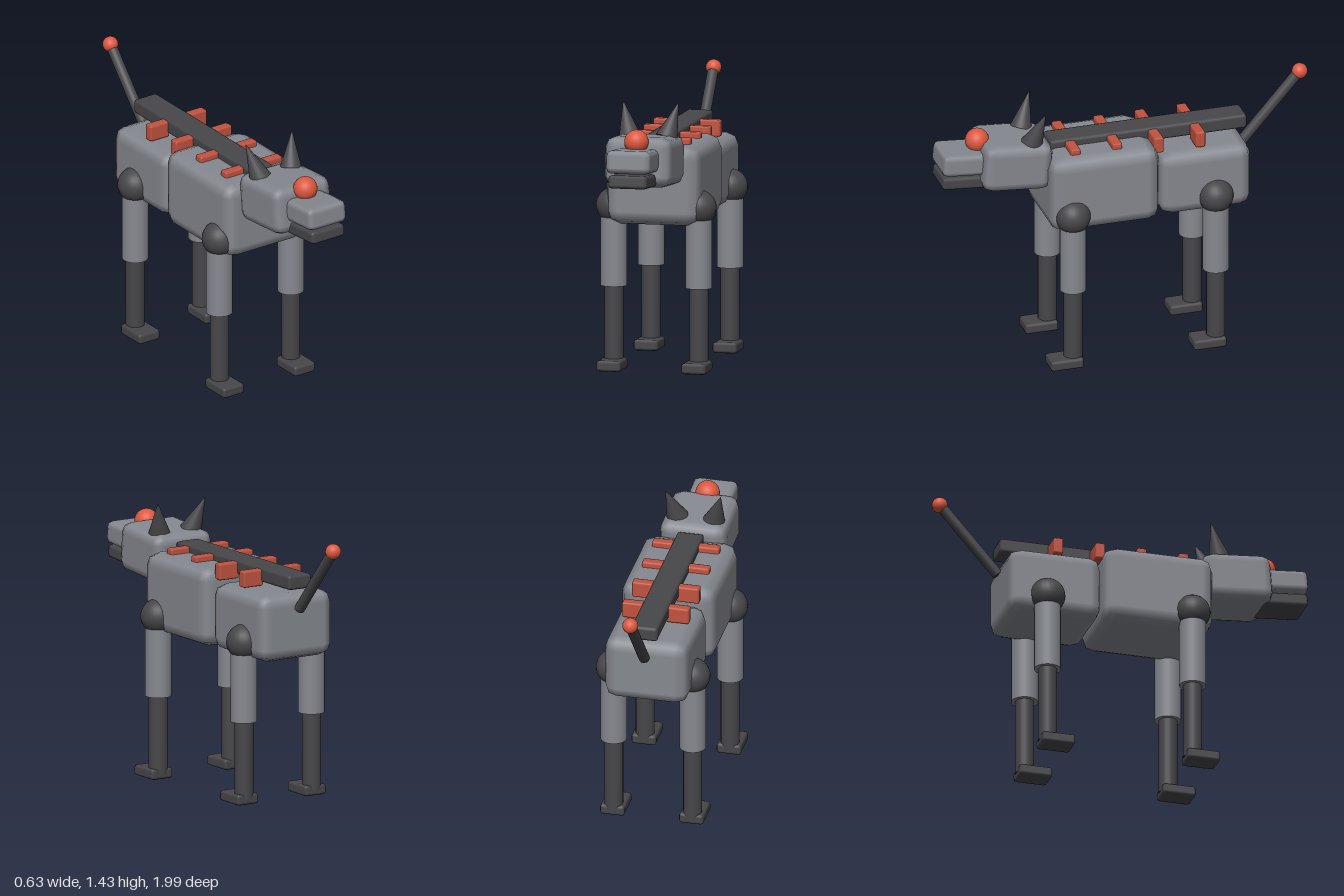
import * as THREE from 'three';
import { RoundedBoxGeometry } from 'three/addons/geometries/RoundedBoxGeometry.js';

const material = (name, color) => {
  const m = new THREE.MeshStandardMaterial({ color });
  m.name = name;
  return m;
};

export function createModel() {
  const grey = material('shell grey', 0x868990);
  const dark = material('joint dark grey', 0x47474b);
  const red = material('glowing red', 0xdd5840);
  const rust = material('plate red', 0xc25340);

  const dog = new THREE.Group();
  dog.name = 'robotDog';

  const add = (parent, name, geometry, mat, x, y, z) => {
    const mesh = new THREE.Mesh(geometry, mat);
    mesh.name = name;
    mesh.position.set(x, y, z);
    parent.add(mesh);
    return mesh;
  };
  const block = (w, h, d, r) => new RoundedBoxGeometry(w, h, d, 1, r);
  // Cylinder or cone running from point a to point b
  const rod = (parent, name, a, b, rA, rB, mat) => {
    const from = new THREE.Vector3(...a), dir = new THREE.Vector3(...b).sub(from);
    const mid = from.clone().addScaledVector(dir, 0.5);
    const mesh = add(parent, name, new THREE.CylinderGeometry(rB, rA, dir.length(), 24), mat, mid.x, mid.y, mid.z);
    mesh.quaternion.setFromUnitVectors(new THREE.Vector3(0, 1, 0), dir.normalize());
    return mesh;
  };

  // Body
  add(dog, 'chest', block(0.50, 0.415, 0.592, 0.07), grey, 0, 0.973, 0.156);
  add(dog, 'hips', block(0.444, 0.35, 0.495, 0.065), grey, 0, 0.942, -0.392);

  // Spine and its plates
  add(dog, 'spine', block(0.142, 0.077, 1.06, 0.016), dark, 0, 1.181, -0.123);
  for (const z of [0.303, 0.078, -0.145, -0.37])
    for (const side of [-1, 1])
      add(dog, 'spinePlate', block(0.12, 0.087, 0.053, 0.01), rust, side * 0.118, 1.167, z);

  // Head, tipped slightly upwards
  const head = new THREE.Group();
  head.name = 'head';
  head.position.set(0, 1.131, 0.604);
  head.rotation.x = -0.08;
  dog.add(head);
  add(head, 'skull', block(0.355, 0.258, 0.37, 0.055), grey, 0, 0, 0);
  add(head, 'snout', block(0.236, 0.12, 0.27, 0.03), grey, 0, 0.011, 0.257);
  add(head, 'lowerJaw', block(0.206, 0.068, 0.28, 0.018), dark, 0, -0.091, 0.245);
  add(dog, 'nose', new THREE.SphereGeometry(0.063, 24, 16), red, 0, 1.253, 0.783);
  for (const side of [-1, 1])
    rod(dog, 'ear', [side * 0.097, 1.24, 0.517], [side * 0.147, 1.42, 0.456], 0.058, 0, dark);

  // Tail
  rod(dog, 'tail', [0, 1.04, -0.645], [0, 1.394, -0.955], 0.028, 0.028, dark);
  add(dog, 'tailTip', new THREE.SphereGeometry(0.041, 24, 16), red, 0, 1.395, -0.957);

  // Legs
  for (const [end, x, z] of [['front', 0.225, 0.335], ['rear', 0.209, -0.44]])
    for (const side of [-1, 1]) {
      const leg = new THREE.Group();
      leg.name = end + 'Leg';
      leg.position.set(side * x, 0, z);
      dog.add(leg);
      add(leg, 'joint', new THREE.SphereGeometry(0.092, 24, 16), dark, 0, 0.855, 0);
      rod(leg, 'upperLeg', [0, 0.437, 0], [0, 0.855, 0], 0.069, 0.069, grey);
      rod(leg, 'lowerLeg', [0, 0.03, 0], [0, 0.46, 0], 0.049, 0.049, dark);
      add(leg, 'foot', block(0.13, 0.056, 0.177, 0.015), dark, 0, 0.03, 0.045);
    }

  return dog;
}
